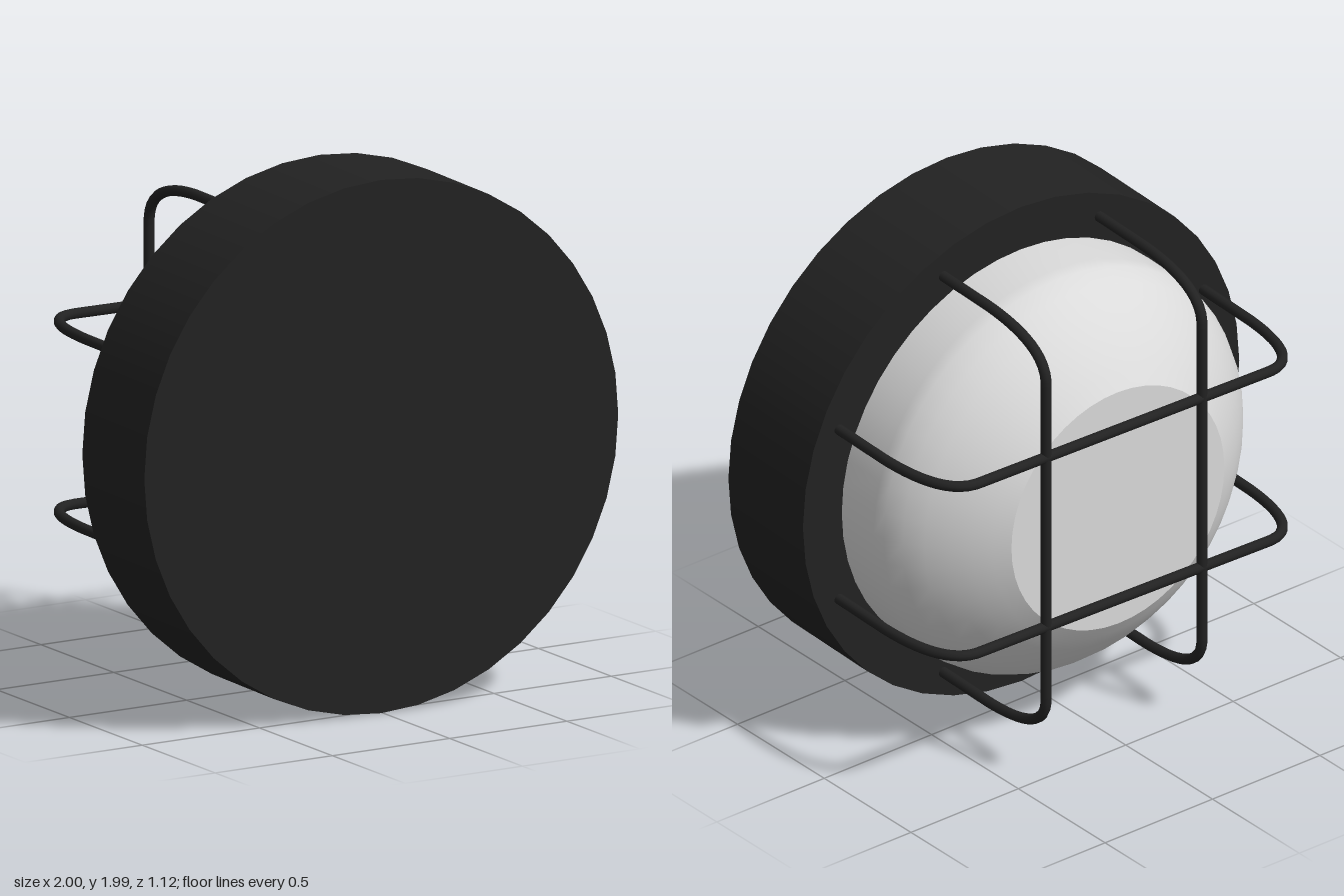
import * as THREE from 'three';

const CAGE_SPAN = 0.83, CAGE_DEPTH = 0.615, CAGE_OFFSET = 0.355, WIRE = 0.02;

// U-shaped wire in the XZ plane, legs starting at z = 0 and bridging at -CAGE_DEPTH
function wirePath() {
  const v = (x, d) => new THREE.Vector3(x, 0, -d);
  const path = new THREE.CurvePath();
  path.add(new THREE.LineCurve3(v(-CAGE_SPAN, -0.02), v(-CAGE_SPAN, 0.27)));
  path.add(new THREE.QuadraticBezierCurve3(v(-CAGE_SPAN, 0.27), v(-0.82, CAGE_DEPTH), v(-0.66, CAGE_DEPTH)));
  path.add(new THREE.LineCurve3(v(-0.66, CAGE_DEPTH), v(0.66, CAGE_DEPTH)));
  path.add(new THREE.QuadraticBezierCurve3(v(0.66, CAGE_DEPTH), v(0.82, CAGE_DEPTH), v(CAGE_SPAN, 0.27)));
  path.add(new THREE.LineCurve3(v(CAGE_SPAN, 0.27), v(CAGE_SPAN, -0.02)));
  return path;
}

export function createModel() {
  const black = new THREE.MeshStandardMaterial({ color: 0x222222 });
  black.name = 'black housing';
  const glass = new THREE.MeshStandardMaterial({ color: 0xdadada });
  glass.name = 'frosted glass';

  const lamp = new THREE.Group();
  lamp.name = 'bulkheadLamp';
  const add = (name, geometry, material, parent = lamp) => {
    const mesh = new THREE.Mesh(geometry, material);
    mesh.name = name;
    parent.add(mesh);
    return mesh;
  };

  // Round housing: its rear face lies on local z = 0
  const housing = new THREE.CylinderGeometry(0.994, 0.994, 0.445, 40);
  housing.rotateX(Math.PI / 2).translate(0, 0, 0.2225);
  add('housing', housing, black);

  // Glass dome: short straight wall, spherical shoulder, flat end
  const profile = [[0.817, -0.01], [0.817, 0.19], [0.808, 0.24], [0.775, 0.31], [0.725, 0.375],
    [0.662, 0.44], [0.6, 0.495], [0.54, 0.54], [0.485, 0.578]].map(([r, d]) => new THREE.Vector2(r, d));
  add('glassDome', new THREE.LatheGeometry(profile, 48).rotateX(-Math.PI / 2), glass);
  const end = new THREE.CircleGeometry(0.485, 48).rotateY(Math.PI).translate(0, 0, -0.578);
  add('glassEnd', end, glass);

  // Protective cage: two horizontal and two vertical wires
  const cage = new THREE.Group();
  cage.name = 'cage';
  lamp.add(cage);
  const wire = new THREE.TubeGeometry(wirePath(), 90, WIRE, 10, false);
  for (const side of [-1, 1]) {
    add('horizontalWire', wire, black, cage).position.y = side * CAGE_OFFSET;
    const vertical = add('verticalWire', wire, black, cage);
    vertical.rotation.z = Math.PI / 2;
    vertical.position.x = side * CAGE_OFFSET;
  }

  // The lamp sits turned slightly about the vertical
  lamp.rotation.y = -0.0275;
  lamp.position.set(0.006, 0.994, 0.096);

  const model = new THREE.Group();
  model.name = 'model';
  model.add(lamp);
  return model;
}
